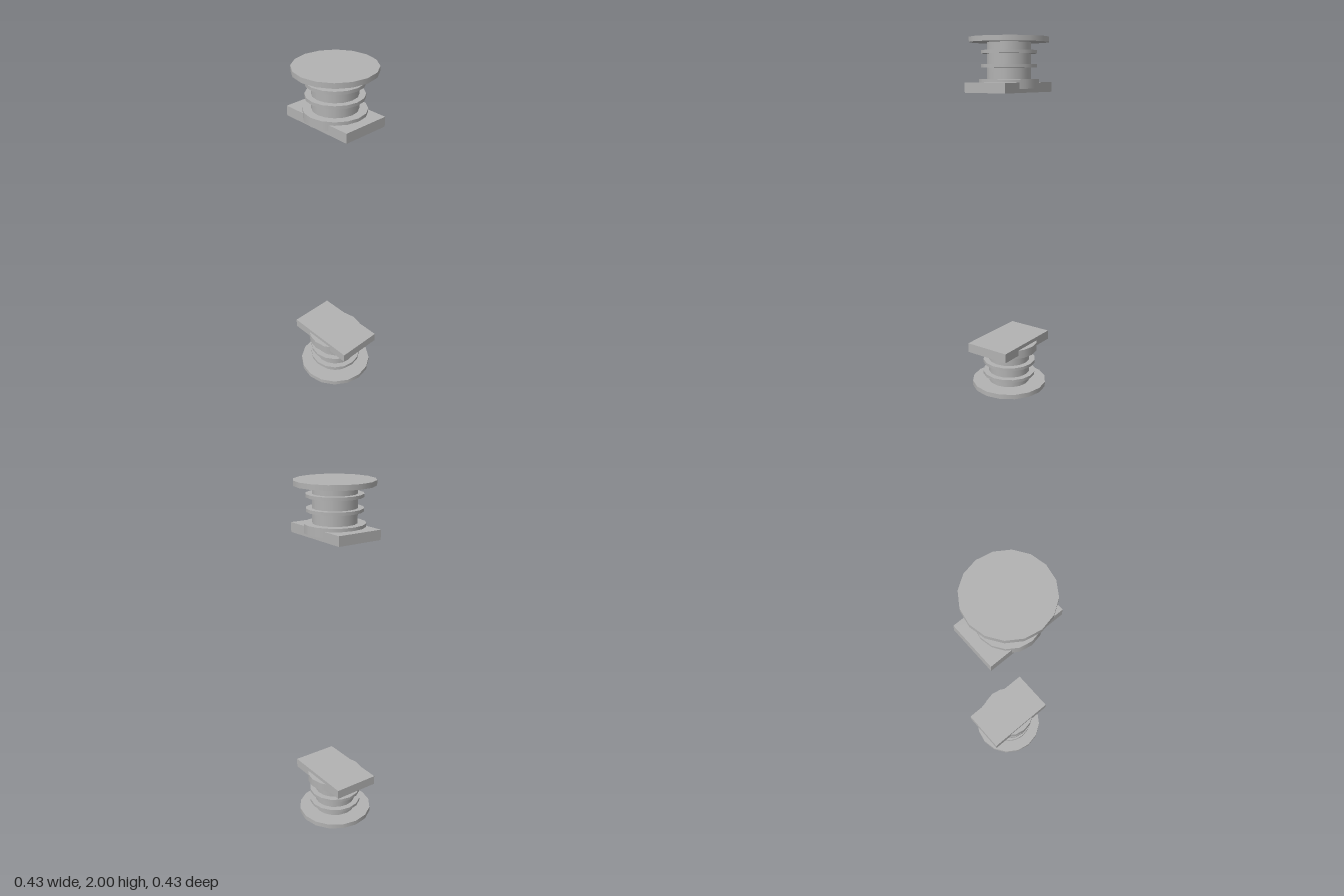
import * as THREE from 'three';

const SIDES = 16;

export function createModel() {
  const model = new THREE.Group();
  model.name = 'endFittings';

  const grey = new THREE.MeshStandardMaterial({ color: 0xb2b2b2 });
  grey.name = 'plain grey';

  // Upright disc or column between two heights
  const disc = (name, radius, y0, y1) => {
    const mesh = new THREE.Mesh(new THREE.CylinderGeometry(radius, radius, y1 - y0, SIDES), grey);
    mesh.position.y = (y0 + y1) / 2;
    mesh.name = name;
    return mesh;
  };

  // One fitting, standing on its round flange
  const makeFitting = (name) => {
    const fitting = new THREE.Group();
    fitting.name = name;
    fitting.add(
      disc('flange', 0.217, 0, 0.027),
      disc('neck', 0.12, 0.02, 0.23),
      disc('lowerRing', 0.153, 0.069, 0.086),
      disc('upperRing', 0.153, 0.142, 0.159),
      disc('collar', 0.165, 0.22, 0.269)
    );

    // Rectangular plate across the collar
    const plate = new THREE.Mesh(new THREE.BoxGeometry(0.266, 0.053, 0.434), grey);
    plate.position.y = 0.264;
    plate.name = 'plate';
    fitting.add(plate);
    return fitting;
  };

  // The top fitting is the bottom one turned upside down
  const bottom = makeFitting('bottomFitting');
  const top = makeFitting('topFitting');
  top.rotation.z = Math.PI;
  top.position.y = 2;
  model.add(bottom, top);

  return model;
}
